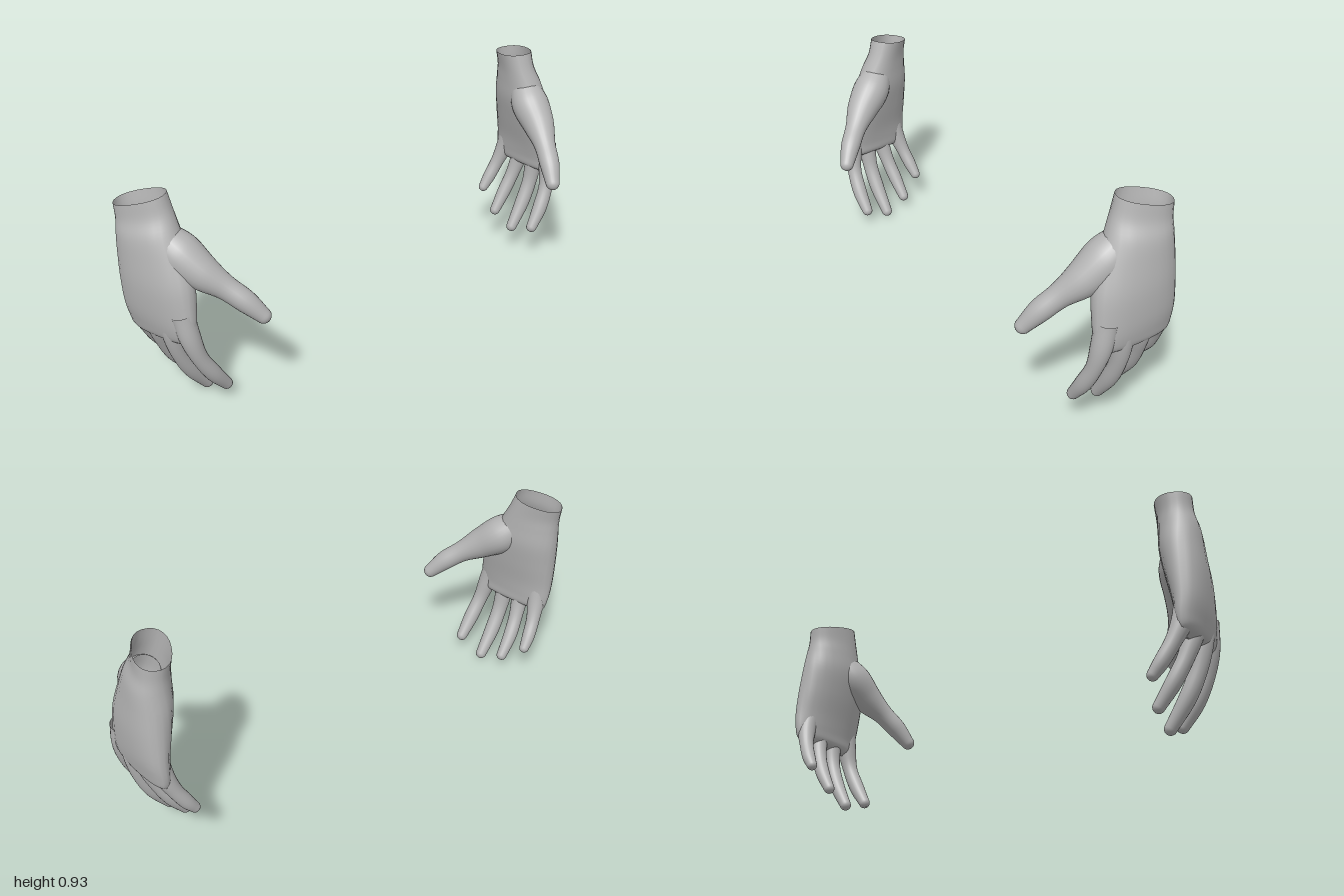
import * as THREE from 'three';

const SIDES = 24;

// Smooth interpolation through rows of numbers, t from 0 to rows.length - 1
function spline(rows) {
  const curve = new THREE.CubicInterpolant(rows.map((_, i) => i), rows.flat(), rows[0].length);
  return t => Array.from(curve.evaluate(t));
}

// Skin a list of rings { c, u, v }; power below 1 squares the section, tilt slopes a ring along z
function skin(rings, power = 1) {
  const pos = [], index = [];
  const soft = n => Math.sign(n) * Math.abs(n) ** power;
  for (const { c, u, v, tilt = 0 } of rings) {
    for (let j = 0; j < SIDES; j++) {
      const a = j / SIDES * Math.PI * 2;
      const p = c.clone().addScaledVector(u, soft(Math.cos(a))).addScaledVector(v, soft(Math.sin(a)));
      pos.push(p.x, p.y + tilt * (p.z - c.z), p.z);
    }
  }
  for (let i = 0; i < rings.length - 1; i++) {
    for (let j = 0; j < SIDES; j++) {
      const k = (j + 1) % SIDES;
      const a = i * SIDES + j, b = i * SIDES + k;
      index.push(a, b, a + SIDES, b, b + SIDES, a + SIDES);
    }
  }
  const g = new THREE.BufferGeometry();
  g.setAttribute('position', new THREE.Float32BufferAttribute(pos, 3));
  g.setIndex(index);
  g.computeVertexNormals();
  return g;
}

// Finger or thumb: rows of x, y, z, radius, ending in a rounded tip
function digit(rows) {
  const at = spline(rows), rings = [], end = rows.length - 1, steps = end * 6;
  const ring = (c, dir, r) => {
    const u = new THREE.Vector3(1, 0, 0).addScaledVector(dir, -dir.x).normalize();
    const v = dir.clone().cross(u);
    rings.push({ c, u: u.multiplyScalar(r), v: v.multiplyScalar(r) });
  };
  const point = t => new THREE.Vector3(...at(t));
  let dir;
  for (let i = 0; i <= steps; i++) {
    const t = i / steps * end;
    dir = point(Math.min(t + 0.05, end)).sub(point(Math.max(t - 0.05, 0))).normalize();
    ring(point(t), dir, at(t)[3]);
  }
  const r = rows[end][3];
  for (let i = 1; i <= 6; i++) {
    const a = i / 6 * Math.PI / 2;
    ring(point(end).addScaledVector(dir, r * Math.sin(a)), dir, Math.max(r * Math.cos(a), 0.0005));
  }
  return skin(rings);
}

// Palm and open wrist: rows of y, x, z, half thickness, half width, yaw, rim tilt
function palm() {
  const rows = [
    [0.92, 0.885, -0.125, 0.066, 0.098, 0.45, 0.16],
    [0.86, 0.890, -0.113, 0.066, 0.106, 0.40, 0.08],
    [0.80, 0.900, -0.100, 0.076, 0.120, 0.28, 0],
    [0.72, 0.908, -0.088, 0.080, 0.140, 0.18, 0],
    [0.62, 0.925, -0.075, 0.074, 0.158, 0.10, 0],
    [0.52, 0.940, -0.072, 0.060, 0.164, 0.05, 0],
    [0.45, 0.945, -0.072, 0.048, 0.163, 0, 0],
    [0.405, 0.944, -0.071, 0.036, 0.155, 0, 0],
    [0.385, 0.942, -0.070, 0.001, 0.135, 0, 0],
  ];
  const at = spline(rows), rings = [], steps = (rows.length - 1) * 5;
  for (let i = 0; i <= steps; i++) {
    const [y, x, z, a, b, yaw, tilt] = at(i / steps * (rows.length - 1));
    const c = Math.cos(yaw), s = Math.sin(yaw), thick = Math.max(a, 0.001);
    rings.push({
      c: new THREE.Vector3(x, y, z), tilt,
      u: new THREE.Vector3(c * thick, 0, s * thick),
      v: new THREE.Vector3(-s * b, 0, c * b),
    });
  }
  return skin(rings, 0.88);
}

// Reverse a geometry across x and keep its faces outward
function mirror(g) {
  g.scale(-1, 1, 1);
  const ix = g.index.array;
  for (let i = 0; i < ix.length; i += 3) [ix[i], ix[i + 1]] = [ix[i + 1], ix[i]];
  g.computeVertexNormals();
  return g;
}

const DIGITS = {
  Thumb: [[0.885, 0.79, -0.06, 0.055], [0.868, 0.72, 0.0, 0.078], [0.848, 0.65, 0.075, 0.066],
    [0.815, 0.588, 0.145, 0.045], [0.785, 0.53, 0.203, 0.041], [0.757, 0.468, 0.25, 0.029]],
  IndexFinger: [[0.945, 0.52, 0.045, 0.042], [0.945, 0.42, 0.06, 0.039], [0.93, 0.33, 0.072, 0.031],
    [0.89, 0.24, 0.08, 0.031], [0.84, 0.16, 0.083, 0.023]],
  MiddleFinger: [[0.95, 0.52, -0.02, 0.042], [0.95, 0.42, -0.025, 0.039], [0.935, 0.32, -0.028, 0.032],
    [0.895, 0.22, -0.03, 0.031], [0.835, 0.12, -0.03, 0.023]],
  RingFinger: [[0.95, 0.52, -0.09, 0.042], [0.945, 0.42, -0.105, 0.037], [0.92, 0.33, -0.118, 0.03],
    [0.88, 0.245, -0.128, 0.029], [0.83, 0.165, -0.131, 0.022]],
  LittleFinger: [[0.945, 0.54, -0.165, 0.042], [0.935, 0.44, -0.187, 0.038], [0.908, 0.36, -0.205, 0.029],
    [0.872, 0.29, -0.217, 0.027], [0.843, 0.245, -0.222, 0.021]],
};

function hand(side, material, pivot, flip) {
  const group = new THREE.Group();
  group.name = side + 'Hand';
  const add = (name, g) => {
    g.translate(-pivot.x, -pivot.y, -pivot.z);
    const mesh = new THREE.Mesh(flip ? mirror(g) : g, material);
    mesh.name = side + name;
    group.add(mesh);
  };
  add('Palm', palm());
  for (const [name, rows] of Object.entries(DIGITS)) add(name, digit(rows));
  return group;
}

export function createModel() {
  const model = new THREE.Group();
  model.name = 'pairOfHands';
  const skinGrey = new THREE.MeshStandardMaterial({ color: 0xb4b4b4, side: THREE.DoubleSide });
  skinGrey.name = 'skinGrey';

  const pivot = new THREE.Vector3(0.9, 0.5, -0.08);
  const left = hand('left', skinGrey, pivot, false);
  left.position.copy(pivot);

  // The right hand hangs lower and is turned slightly
  const right = hand('right', skinGrey, pivot, true);
  right.rotation.set(-0.04, 0.22, 0.085, 'ZXY');
  right.position.set(-0.9, 0.395, -0.12);

  model.add(left, right);

  // Stand on the ground, centred
  model.updateMatrixWorld(true);
  const box = new THREE.Box3().setFromObject(model, true);
  const mid = box.getCenter(new THREE.Vector3());
  for (const h of [left, right]) h.position.sub(new THREE.Vector3(mid.x, box.min.y, mid.z));
  return model;
}
